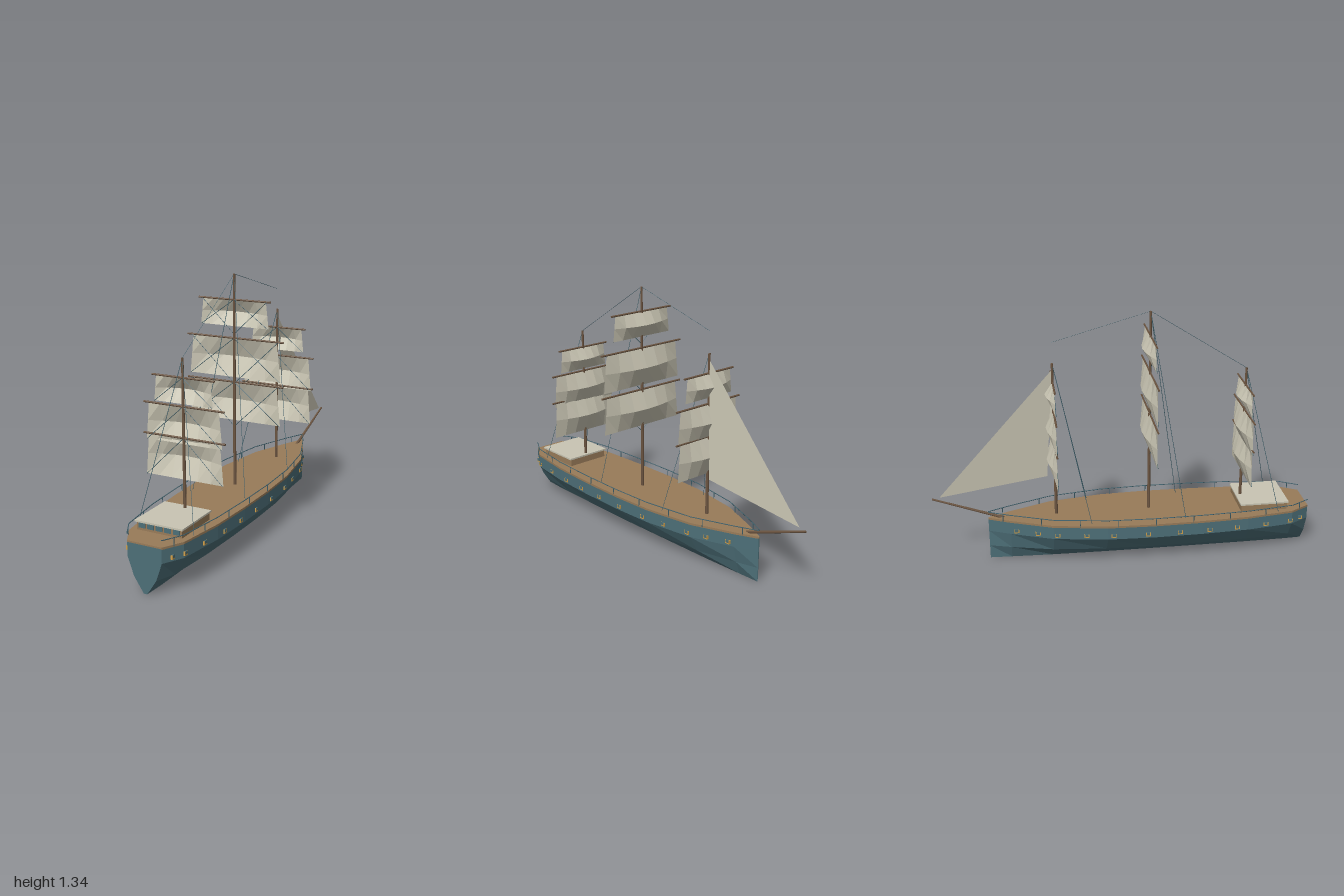
import * as THREE from 'three';

const mat = (name, color, side = THREE.FrontSide, flatShading = true) =>
  Object.assign(new THREE.MeshStandardMaterial({ color, side, flatShading }), { name });

// half width of the deck at each station, bow to stern: [z, halfWidth]
const STATIONS = [[-0.715, 0.003], [-0.6, 0.055], [-0.38, 0.14], [-0.1, 0.185], [0.14, 0.195],
  [0.4, 0.192], [0.65, 0.18], [0.9, 0.146], [1, 0.09]];
const DECK = 0.235;

function halfWidth(z) {
  const i = STATIONS.findIndex(([z1]) => z <= z1);
  const [z0, w0] = STATIONS[i - 1], [z1, w1] = STATIONS[i];
  return w0 + (w1 - w0) * (z - z0) / (z1 - z0);
}

function hullGeometry() {
  const half = [[1, DECK], [1, 0.165], [0.65, 0.075], [0.1, 0]];
  const section = [...half, ...half.slice().reverse().map(([x, y]) => [-x, y])];
  const pos = [], index = [], n = section.length;
  for (const [z, w] of STATIONS) for (const [x, y] of section) pos.push(x * w, y, z);
  for (let i = 0; i < STATIONS.length - 1; i++) {
    for (let j = 0; j < n - 1; j++) {
      const a = i * n + j, b = a + 1, c = a + n, d = c + 1;
      index.push(a, c, b, b, c, d);
    }
  }
  // stern and bow caps
  const s = (STATIONS.length - 1) * n;
  for (let j = 1; j < n - 1; j++) index.push(s, s + j + 1, s + j, 0, j, j + 1);
  const g = new THREE.BufferGeometry();
  g.setAttribute('position', new THREE.Float32BufferAttribute(pos, 3));
  g.setIndex(index);
  g.computeVertexNormals();
  return g;
}

export function createModel() {
  const ship = new THREE.Group();
  ship.name = 'sailingShip';
  const hullMat = mat('hull teal', 0x4d6f78);
  const deckMat = mat('deck wood', 0x987b59);
  const sparMat = mat('spar wood', 0x6b5440);
  const sailMat = mat('sail canvas', 0xc9c5b3, THREE.DoubleSide);
  const ropeMat = mat('rope and rail', 0x3f5f6a);
  const brassMat = mat('brass', 0xd2a04a);

  const add = (name, geo, material, x = 0, y = 0, z = 0, parent = ship) => {
    const m = new THREE.Mesh(geo, material);
    m.name = name;
    m.position.set(x, y, z);
    parent.add(m);
    return m;
  };
  // round bar between two points
  const bar = (name, a, b, r0, material, r1 = r0, sides = 8, parent = ship) => {
    const p = new THREE.Vector3(...a), q = new THREE.Vector3(...b), d = q.clone().sub(p);
    const m = add(name, new THREE.CylinderGeometry(r1, r0, d.length(), sides), material, 0, 0, 0, parent);
    m.position.copy(p).add(q).multiplyScalar(0.5);
    m.quaternion.setFromUnitVectors(new THREE.Vector3(0, 1, 0), d.normalize());
  };
  const rope = (name, a, b, parent, r = 0.0015) => bar(name, a, b, r, ropeMat, r, 4, parent);

  // hull and raised deck slab
  add('hull', hullGeometry(), hullMat);
  const outline = [...STATIONS.map(([z, w]) => [w, z]), ...STATIONS.slice().reverse().map(([z, w]) => [-w, z])];
  const deckShape = new THREE.Shape(outline.map(([x, z]) => new THREE.Vector2(x * 1.01, -z)));
  add('deck', new THREE.ExtrudeGeometry(deckShape, { depth: 0.011, bevelEnabled: false }).rotateX(-Math.PI / 2),
    deckMat, 0, DECK - 0.003, 0);

  // railing and portholes on both sides
  const railing = new THREE.Group();
  railing.name = 'railing';
  ship.add(railing);
  const portholes = new THREE.Group();
  portholes.name = 'portholes';
  ship.add(portholes);
  for (const s of [1, -1]) {
    for (let i = 1; i < STATIONS.length; i++) {
      const [z0, w0] = STATIONS[i - 1], [z1, w1] = STATIONS[i];
      bar('handrail', [s * w0, 0.276, z0], [s * w1, 0.276, z1], 0.0024, ropeMat, 0.0024, 5, railing);
    }
    for (let i = 0; i < 9; i++) {
      const z = 0.945 - i * 0.198, x = s * halfWidth(z);
      bar('railPost', [x, DECK, z], [x, 0.276, z], 0.0024, ropeMat, 0.0024, 5, railing);
    }
    for (const z of [0.95, 0.89, 0.75, 0.59, 0.44, 0.28, 0.11, -0.07, -0.21, -0.36, -0.46, -0.57]) {
      const x = s * halfWidth(z);
      add('portFrame', new THREE.BoxGeometry(0.01, 0.02, 0.026), brassMat, x, 0.186, z, portholes);
      add('portGlass', new THREE.BoxGeometry(0.011, 0.015, 0.018), hullMat, x, 0.189, z, portholes);
    }
  }

  // deckhouse
  add('deckhouse', new THREE.BoxGeometry(0.24, 0.046, 0.25), deckMat, 0, 0.262, 0.75);
  add('deckhouseRoof', new THREE.BoxGeometry(0.256, 0.009, 0.262), sailMat, 0, 0.286, 0.75);
  for (let i = -2; i <= 2; i++)
    add('deckhouseWindow', new THREE.BoxGeometry(0.036, 0.024, 0.004), hullMat, i * 0.046, 0.267, 0.875);

  // square sail hung from its yard, bellying forward
  const sailGeometry = (top, bottom, height) => {
    const g = new THREE.PlaneGeometry(2, 1, 6, 2), p = g.attributes.position;
    for (let i = 0; i < p.count; i++) {
      const u = p.getX(i), v = 0.5 - p.getY(i);
      p.setXYZ(i, u * (top + (bottom - top) * v), -v * height,
        -0.042 * Math.cos(u * Math.PI / 2) * Math.sin(v * Math.PI));
    }
    g.computeVertexNormals();
    return g;
  };

  // masts: yards are [y, half length, sail height]
  const masts = [
    { name: 'foreMast', z: -0.355, top: 1.085, yards: [[0.985, 0.165, 0.125], [0.83, 0.215, 0.18], [0.66, 0.215, 0.195]] },
    { name: 'mainMast', z: 0.142, top: 1.335, yards: [[1.208, 0.2, 0.133], [1.015, 0.27, 0.2], [0.79, 0.27, 0.2]] },
    { name: 'mizzenMast', z: 0.645, top: 1.015, yards: [[0.922, 0.165, 0.125], [0.785, 0.215, 0.18], [0.633, 0.22, 0.203]] },
  ];
  for (const { name, z, top, yards } of masts) {
    const rig = new THREE.Group();
    rig.name = name;
    rig.position.z = z;
    ship.add(rig);
    bar('mast', [0, DECK, 0], [0, top, 0], 0.0085, sparMat, 0.006, 8, rig);
    for (const [y, half, height] of yards) {
      bar('yard', [-half, y, 0], [half, y, 0], 0.005, sparMat, 0.005, 6, rig);
      add('sail', sailGeometry(half * 0.87, half * 0.945, height), sailMat, 0, y, 0, rig);
      for (const s of [1, -1]) {
        rope('sheet', [0, y, 0.004], [s * half * 0.93, y - height, 0.004], rig);
        if (name === 'mainMast') rope('brace', [s * half * 0.9, y, 0.003], [0, y - half * 0.86, 0.003], rig);
      }
    }
    for (const s of [1, -1]) rope('shroud', [0, top, 0], [s * 0.15, 0.245, 0.175], rig);
  }

  // stays between mastheads
  rope('mizzenStay', [0, 1.015, 0.645], [0, 1.335, 0.142], ship, 0.001);
  rope('foreStay', [0, 1.335, 0.142], [0, 1.195, -0.355], ship, 0.001);

  // bowsprit and triangular headsail
  bar('bowsprit', [0, 0.236, -0.63], [0, 0.37, -0.998], 0.008, sparMat, 0.005);
  const jib = new THREE.BufferGeometry();
  jib.setAttribute('position', new THREE.Float32BufferAttribute(
    [0, 1.05, -0.358, 0.03, 0.45, -0.395, 0, 0.377, -0.96], 3));
  jib.computeVertexNormals();
  add('headsail', jib, sailMat);
  return ship;
}
